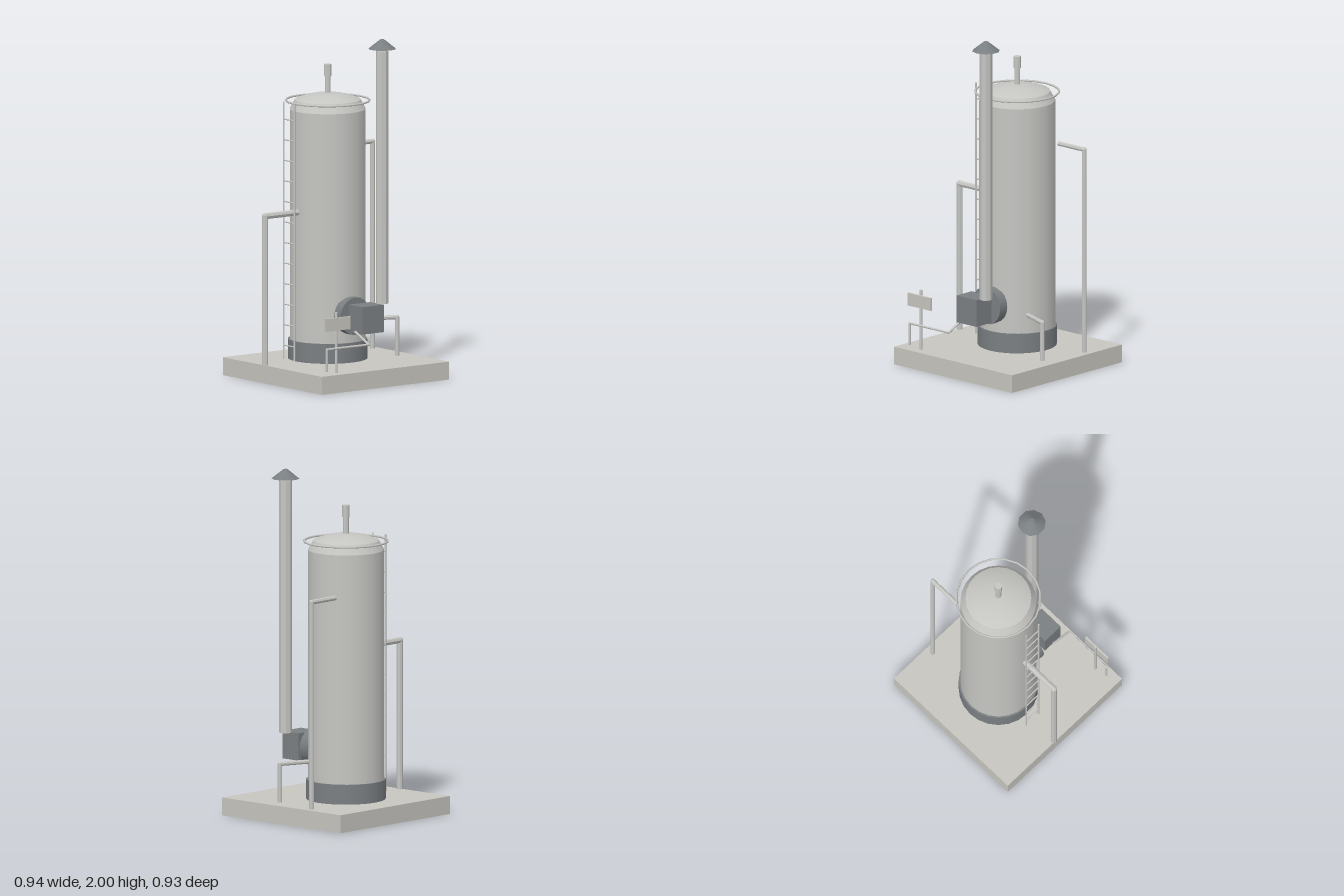
import * as THREE from 'three';

const mat = (name, color) => {
  const m = new THREE.MeshStandardMaterial({ color });
  m.name = name;
  return m;
};

export function createModel() {
  const model = new THREE.Group();
  model.name = 'processTank';

  const concrete = mat('concrete', 0xc7c5bf);
  const steel = mat('lightSteel', 0xc5c5c2);
  const dark = mat('darkSteel', 0x7a7f82);

  const V = (x, y, z) => new THREE.Vector3(x, y, z);
  const UP = V(0, 1, 0);

  const add = (name, geo, material, x = 0, y = 0, z = 0, parent = model) => {
    const mesh = new THREE.Mesh(geo, material);
    mesh.name = name;
    mesh.position.set(x, y, z);
    parent.add(mesh);
    return mesh;
  };
  // Gives each facet its own normal
  const faceted = (geo) => {
    const flat = geo.toNonIndexed();
    flat.computeVertexNormals();
    return flat;
  };
  const box = (name, m, x0, x1, y0, y1, z0, z1) =>
    add(name, new THREE.BoxGeometry(x1 - x0, y1 - y0, z1 - z0), m,
      (x0 + x1) / 2, (y0 + y1) / 2, (z0 + z1) / 2);
  // Upright round part between two heights
  const round = (name, m, rTop, rBottom, y0, y1, x, z, sides, open = false) =>
    add(name, new THREE.CylinderGeometry(rTop, rBottom, y1 - y0, sides, 1, open), m, x, (y0 + y1) / 2, z);
  // Straight faceted rod between two points
  const rod = (name, a, b, r, parent = model, sides = 8) => {
    const mid = a.clone().add(b).multiplyScalar(0.5);
    const geo = faceted(new THREE.CylinderGeometry(r, r, a.distanceTo(b), sides));
    const mesh = add(name, geo, steel, mid.x, mid.y, mid.z, parent);
    mesh.quaternion.setFromUnitVectors(UP, b.clone().sub(a).normalize());
  };
  // Run of rods with ball elbows at the bends
  const pipeRun = (name, points, r) => {
    const group = new THREE.Group();
    group.name = name;
    model.add(group);
    points.slice(1).forEach((p, i) => {
      rod('pipeSection', points[i], p, r, group);
      if (i < points.length - 2)
        add('elbow', faceted(new THREE.SphereGeometry(r * 1.05, 8, 6)), steel, p.x, p.y, p.z, group);
    });
  };

  // Foundation
  box('foundation', concrete, -0.461, 0.469, 0, 0.105, -0.465, 0.465);

  // Tank with skirt, shoulder and shallow dome
  const tx = 0.004, tz = -0.078;
  round('skirt', dark, 0.23, 0.23, 0.105, 0.22, tx, tz, 24);
  round('tankBody', steel, 0.22, 0.22, 0.21, 1.56, tx, tz, 24);
  round('tankShoulder', steel, 0.19, 0.22, 1.56, 1.615, tx, tz, 24, true);
  const domeR = 0.471, domeAngle = Math.asin(0.19 / domeR);
  add('tankDome', new THREE.SphereGeometry(domeR, 24, 5, 0, Math.PI * 2, 0, domeAngle), steel,
    tx, 1.615 - domeR * Math.cos(domeAngle), tz);

  // Vent on the dome
  rod('ventStem', V(tx, 1.64, tz), V(tx, 1.75, tz), 0.017);
  rod('ventHead', V(tx, 1.75, tz), V(tx, 1.82, tz), 0.022);

  // Guard ring around the tank top
  add('guardRing', new THREE.TorusGeometry(0.243, 0.006, 6, 20), steel, tx, 1.61, tz).rotation.x = Math.PI / 2;

  // Fire tube flange, burner box, chimney and rain cap
  add('flange', new THREE.CylinderGeometry(0.11, 0.11, 0.06, 20), dark, tx, 0.38, 0.154).rotation.x = Math.PI / 2;
  box('burnerBox', dark, -0.075, 0.081, 0.3, 0.46, 0.222, 0.35);
  rod('chimney', V(0.109, 0.46, 0.299), V(0.109, 1.935, 0.299), 0.037);
  round('rainCap', dark, 0.012, 0.081, 1.945, 2, 0.109, 0.299, 10);

  // Process pipes
  pipeRun('leftPipe', [V(0.423, 0.105, -0.195), V(0.423, 1.315, -0.195), V(0.224, 1.315, -0.195)], 0.014);
  pipeRun('rightPipe', [V(-0.452, 0.105, -0.08), V(-0.452, 0.975, -0.08), V(-0.213, 0.975, -0.08)], 0.018);
  pipeRun('drainPipe', [V(0.37, 0.105, 0.103), V(0.37, 0.33, 0.103), V(0.194, 0.33, 0.037)], 0.013);

  // Fuel line to the burner
  pipeRun('fuelLine',
    [V(-0.385, 0.12, 0.414), V(-0.385, 0.25, 0.414), V(-0.078, 0.25, 0.414), V(-0.078, 0.31, 0.285)], 0.007);

  // Ladder
  const ladder = new THREE.Group();
  ladder.name = 'ladder';
  model.add(ladder);
  const lx = -0.276, z0 = -0.13, z1 = -0.03;
  for (const z of [z0, z1]) rod('ladderRail', V(lx, 0.12, z), V(lx, 1.62, z), 0.005, ladder, 6);
  for (let i = 0; i < 12; i++) {
    const y = 0.2 + i * 0.12;
    rod('rung', V(lx, y, z0), V(lx, y, z1), 0.004, ladder, 6);
  }

  // Blank sign on a post
  rod('signPost', V(-0.307, 0.105, 0.403), V(-0.307, 0.46, 0.403), 0.008);
  box('signBoard', concrete, -0.398, -0.215, 0.355, 0.43, 0.408, 0.42);

  return model;
}
